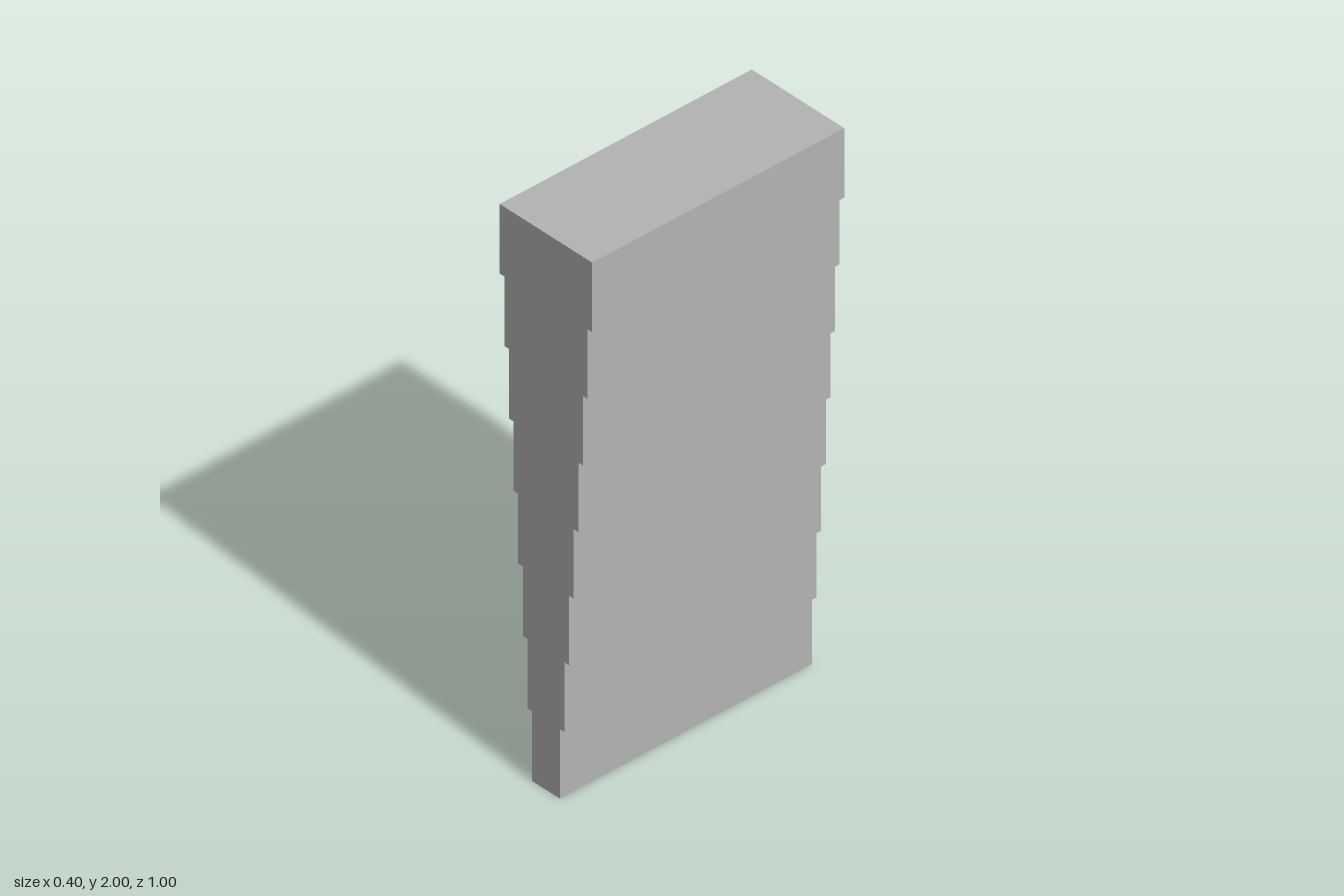
import * as THREE from 'three';

const STEPS = 8;
const STEP_HEIGHT = 0.25;
const DEPTH = 1;
const halfWidth = (i) => 0.06 + 0.02 * i;

export function createModel() {
  const model = new THREE.Group();
  model.name = 'steppedPier';

  const grey = new THREE.MeshStandardMaterial({ color: 0xb4b4b4 });
  grey.name = 'stone grey';

  // Right-hand edge of the stepped silhouette, widening upwards
  const edge = [];
  for (let i = 0; i < STEPS; i++) {
    edge.push(new THREE.Vector2(halfWidth(i), i * STEP_HEIGHT));
    edge.push(new THREE.Vector2(halfWidth(i), (i + 1) * STEP_HEIGHT));
  }
  // Mirror the edge to close the outline
  const mirrored = edge.map((p) => new THREE.Vector2(-p.x, p.y)).reverse();
  const outline = new THREE.Shape([...edge, ...mirrored]);

  // Solid stepped body, centred front to back
  const geometry = new THREE.ExtrudeGeometry(outline, { depth: DEPTH, bevelEnabled: false });
  geometry.translate(0, 0, -DEPTH / 2);
  const body = new THREE.Mesh(geometry, grey);
  body.name = 'steppedBody';
  model.add(body);

  return model;
}
